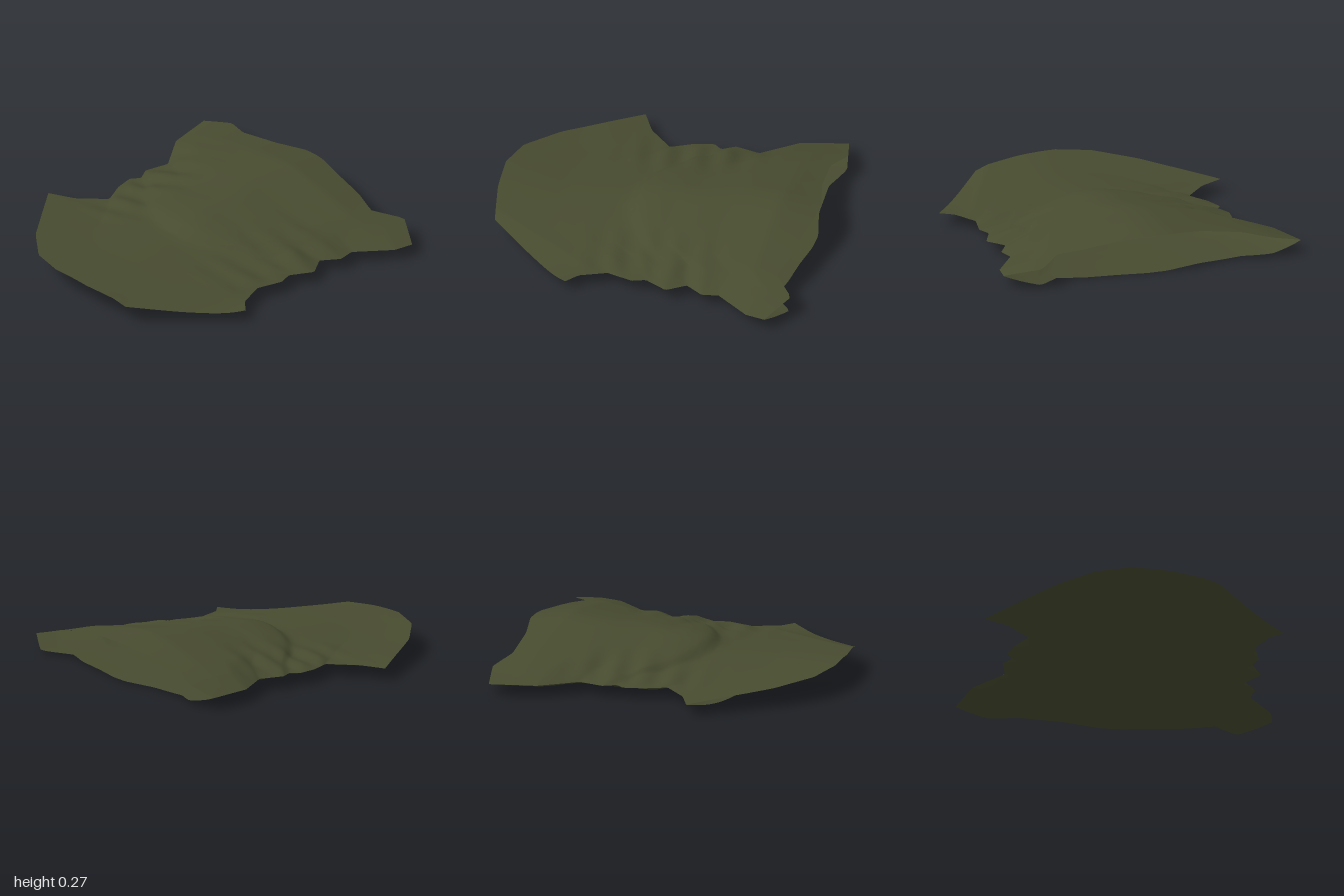
import * as THREE from 'three';

// piecewise-linear lookup in a short list of [key, value] pairs
function lookup(table, k) {
  if (k <= table[0][0]) return table[0][1];
  for (let i = 1; i < table.length; i++) {
    const [a, va] = table[i - 1], [b, vb] = table[i];
    if (k <= b) return va + (vb - va) * (k - a) / (b - a);
  }
  return table[table.length - 1][1];
}
const smooth = THREE.MathUtils.smoothstep;
const lerp = THREE.MathUtils.lerp;

// side seams: x as a function of z, bunched at the middle
const leftSide = [[-0.89, 0.95], [-0.77, 0.93], [-0.56, 0.78], [-0.46, 0.8], [-0.35, 0.73], [-0.24, 0.81],
  [-0.1, 0.74], [-0.02, 0.77], [0.14, 0.73], [0.3, 0.8], [0.36, 0.88]];
const rightSide = [[-0.89, -0.95], [-0.61, -0.88], [-0.4, -0.71], [-0.25, -0.74], [-0.17, -0.69], [-0.12, -0.73],
  [0, -0.7], [0.13, -0.63], [0.28, -0.77], [0.36, -0.92]];

// hems: z as a function of the position across the cloth
const backHem = [[-1, -0.89], [-0.79, -0.94], [-0.61, -0.88], [-0.32, -0.9], [-0.08, -0.96], [0.05, -0.96],
  [0.25, -0.93], [0.47, -0.91], [0.63, -0.87], [0.79, -1], [1, -0.89]];
const frontHem = [[-1, 0.36], [-0.59, 0.78], [-0.34, 0.95], [-0.1, 1], [0.18, 0.98], [0.5, 0.92], [0.95, 0.43], [1, 0.36]];

// crown height along the centre, and how it falls off to the sides
const crown = [[-1, 0.235], [-0.73, 0.272], [-0.4, 0.25], [0, 0.225], [0.09, 0.21], [0.14, 0.195],
  [0.18, 0.155], [0.24, 0.147], [0.6, 0.145], [1, 0.165]];
const arch = [[0, 1], [0.1, 0.97], [0.33, 0.77], [0.65, 0.46], [0.8, 0.3], [1, 0]];

const SEAM_Y = 0.078;

function upperPoint(u, v) {
  const sideZ = lerp(-0.89, 0.36, v);
  const x = lerp(lookup(rightSide, sideZ), lookup(leftSide, sideZ), (u + 1) / 2);
  const z = lerp(lookup(backHem, u), lookup(frontHem, u), v);
  const edge = 1 - Math.pow(u, 8);
  // crescent fold across the middle
  const foldZ = z + Math.min(0.9 * x * x, 0.3) * smooth(z, -0.5, -0.1) * (1 - smooth(z, 0.3, 0.7));
  const across = lerp(lookup(arch, Math.abs(u)), 1 - u * u, 0.15 + 0.35 * v);
  let y = SEAM_Y + (lookup(crown, foldZ) - SEAM_Y) * across;
  // bunched wrinkles near both seams
  const bunch = smooth(Math.abs(u), 0.3, 0.8) * smooth(z, -0.65, -0.25) * (1 - smooth(z, 0.15, 0.45));
  y += 0.011 * Math.sin(z * 34 + x * 5) * bunch * edge;
  // long crease turning down the front left edge
  const outside = (x - 0.75) * 0.876 + (z - 0.2) * 0.482;
  y -= 0.25 * Math.max(0, outside) * smooth(z, 0.1, 0.4) * edge;
  return [x, y, z];
}

function lowerPoint(u, v) {
  const sideZ = lerp(-0.89, 0.36, v);
  const x = lerp(lookup(rightSide, sideZ), lookup(leftSide, sideZ), (u + 1) / 2);
  const z = lerp(lookup(backHem, u) + 0.02 * (1 - u * u), 0.36 + 0.15 * (1 - Math.pow(u, 4)), v);
  const edge = 1 - Math.pow(u, 8);
  const bunch = smooth(z, -0.65, -0.25) * (1 - smooth(z, 0.15, 0.45)) * smooth(Math.abs(u), 0.05, 0.6);
  let y = lerp(lerp(0.005, 0.02, v), SEAM_Y, 0.25 * u * u + 0.75 * Math.pow(u, 6));
  y += 0.009 * (1 + Math.sin(z * 30 + x * 4)) * bunch * edge;
  return [x, y, z];
}

// one cloth panel as a grid of cross-sections
function panel(point, up) {
  const nu = 60, nv = 72, positions = [], index = [];
  for (let j = 0; j <= nv; j++) {
    for (let i = 0; i <= nu; i++) positions.push(...point(i / nu * 2 - 1, j / nv));
  }
  for (let j = 0; j < nv; j++) {
    for (let i = 0; i < nu; i++) {
      const a = j * (nu + 1) + i, b = a + 1, c = a + nu + 1, d = c + 1;
      if (up) index.push(a, c, b, b, c, d);
      else index.push(a, b, c, b, d, c);
    }
  }
  const geometry = new THREE.BufferGeometry();
  geometry.setAttribute('position', new THREE.Float32BufferAttribute(positions, 3));
  geometry.setIndex(index);
  geometry.computeVertexNormals();
  return geometry;
}

export function createModel() {
  const group = new THREE.Group();
  group.name = 'neckGaiter';
  const cloth = new THREE.MeshStandardMaterial({ color: 0x474b2f, side: THREE.DoubleSide });
  cloth.name = 'olive cloth';
  const upper = new THREE.Mesh(panel(upperPoint, true), cloth);
  upper.name = 'upperPanel';
  const lower = new THREE.Mesh(panel(lowerPoint, false), cloth);
  lower.name = 'lowerPanel';
  group.add(upper, lower);
  return group;
}
